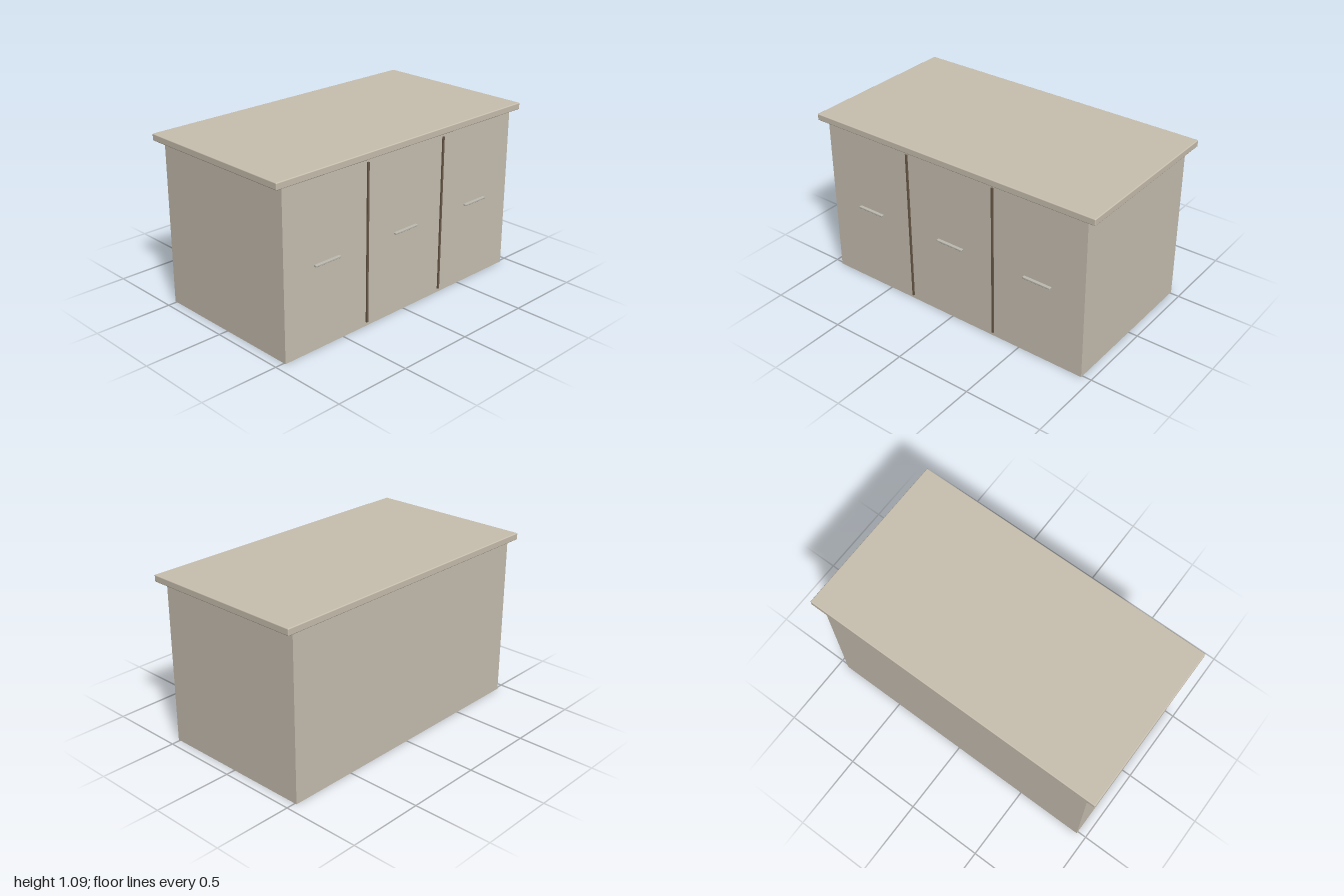
import * as THREE from 'three';
import { RoundedBoxGeometry } from 'three/addons/geometries/RoundedBoxGeometry.js';

function material(name, color) {
  const m = new THREE.MeshStandardMaterial({ color });
  m.name = name;
  return m;
}

export function createModel() {
  const group = new THREE.Group();
  group.name = 'sideboard';
  const paint = material('warm beige', 0xc8c0b2);
  const topPaint = material('worktop beige', 0xc8bfaf);
  const gap = material('dark brown', 0x6b5a48);
  const metal = material('pale grey', 0xbdbab0);

  const add = (name, geometry, mat, x, y, z) => {
    const mesh = new THREE.Mesh(geometry, mat);
    mesh.name = name;
    mesh.position.set(x, y, z);
    group.add(mesh);
  };

  // Cabinet body and overhanging worktop with softened edges
  add('cabinetBody', new THREE.BoxGeometry(1.88, 1.047, 1.026), paint, 0, 0.5235, 0);
  add('worktop', new RoundedBoxGeometry(2, 0.043, 1.09, 3, 0.006), topPaint, 0, 1.0685, 0);

  // Upright strips between the three doors
  for (const x of [-0.313, 0.313]) {
    add('doorDivider', new THREE.BoxGeometry(0.0125, 0.996, 0.012), gap, x, 0.523, 0.516);
  }

  // One slim bar handle on each door
  for (const x of [-0.626, 0, 0.626]) {
    add('doorHandle', new RoundedBoxGeometry(0.188, 0.0125, 0.02, 2, 0.003), metal, x, 0.524, 0.521);
  }
  return group;
}
